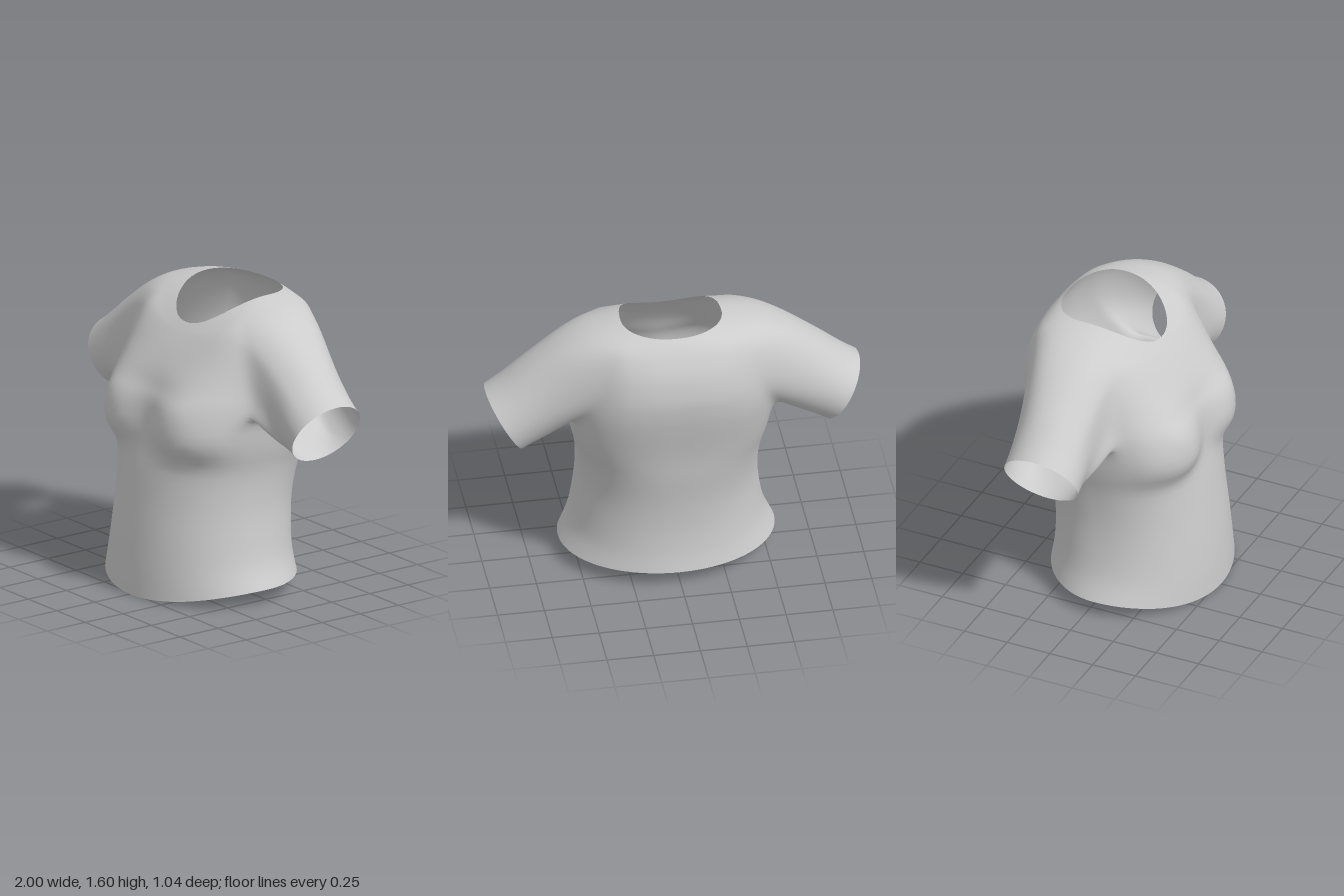
import * as THREE from 'three';

const COLS = 128, STEPS = 4, HALF = 8, SLEEVE_RINGS = 18;

// Body cross-sections from hem to neckline:
// half width, roundness, side z, front z, back z, side y, front y, back y, centre x,
// armhole reach towards front and back in degrees
const SECTIONS = [
  [0.577, 1.00, 0.05, 0.520, -0.400, 0.085, 0.000, 0.090, 0.008, 22, 22],
  [0.525, 0.95, 0.05, 0.512, -0.382, 0.200, 0.150, 0.200, 0.008, 22, 22],
  [0.495, 0.92, 0.04, 0.495, -0.376, 0.350, 0.330, 0.350, 0.010, 22, 22],
  [0.480, 0.90, 0.03, 0.472, -0.390, 0.520, 0.510, 0.520, 0.010, 22, 22],
  [0.490, 0.85, 0.00, 0.445, -0.420, 0.700, 0.700, 0.700, 0.010, 22, 22],
  [0.525, 0.77, -0.03, 0.415, -0.446, 0.860, 0.860, 0.860, 0.012, 22, 22],
  [0.552, 0.74, -0.08, 0.400, -0.490, 1.050, 1.040, 1.050, 0.012, 22, 23],
  [0.552, 0.75, -0.10, 0.370, -0.512, 1.150, 1.130, 1.160, 0.010, 22, 33],
  [0.545, 0.77, -0.11, 0.335, -0.520, 1.270, 1.215, 1.270, 0.008, 26, 41],
  [0.535, 0.80, -0.12, 0.275, -0.498, 1.420, 1.310, 1.400, 0.008, 32, 44],
  [0.500, 0.82, -0.14, 0.215, -0.452, 1.545, 1.390, 1.500, 0.008, 41, 45],
  [0.380, 0.87, -0.17, 0.184, -0.412, 1.580, 1.425, 1.555, 0.012, 38, 42],
  [0.270, 0.92, -0.18, 0.165, -0.380, 1.600, 1.445, 1.585, 0.020, 35, 38],
];
const ROWS = (SECTIONS.length - 1) * STEPS;
const HOLE_LOW = 6 * STEPS, HOLE_HIGH = 10 * STEPS;   // armhole rows

// Smooth interpolation between neighbouring sections
function sectionAt(row) {
  const i = Math.min(Math.floor(row / STEPS), SECTIONS.length - 2);
  const t = row / STEPS - i;
  const at = (k) => SECTIONS[THREE.MathUtils.clamp(k, 0, SECTIONS.length - 1)];
  return at(i).map((b, n) => {
    const a = at(i - 1)[n], c = at(i + 1)[n], d = at(i + 2)[n];
    return b + 0.5 * t * (c - a + t * (2 * a - 5 * b + 4 * c - d + t * (3 * (b - c) + d - a)));
  });
}

// Angle of a column, spaced so the armhole edges follow the section's reach
function columnAngle(j, reachFront, reachBack) {
  const side = COLS / 4, k = j > COLS / 2 ? COLS - j : j;
  const { mapLinear, degToRad } = THREE.MathUtils;
  let angle;
  if (k < side - HALF) angle = mapLinear(k, 0, side - HALF, 0, 90 - reachFront);
  else if (k < side) angle = mapLinear(k, side - HALF, side, 90 - reachFront, 90);
  else if (k < side + HALF) angle = mapLinear(k, side, side + HALF, 90, 90 + reachBack);
  else angle = mapLinear(k, side + HALF, COLS / 2, 90 + reachBack, 180);
  return degToRad(j > COLS / 2 ? -angle : angle);
}

// Rounded bust: soft above, tighter underneath
function bust(x, y) {
  const dy = (y - 0.92) / (y < 0.92 ? 0.09 : 0.17);
  const dx = (Math.abs(x - 0.01) - 0.32) / 0.17;
  return 0.085 * Math.exp(-Math.pow((dx * dx + dy * dy) / 2, 1.4));
}

function bodyPoint(section, j) {
  const [w, p, zs, zf, zb, ys, yf, yb, cx, reachFront, reachBack] = section;
  const angle = columnAngle(j, reachFront, reachBack);
  const s = Math.sin(angle), c = Math.cos(angle);
  const power = (v) => Math.sign(v) * Math.pow(Math.abs(v), p);
  const x = cx + w * power(s);
  const y = THREE.MathUtils.lerp(ys, c > 0 ? yf : yb, c * c);
  let z = zs + power(c) * (c > 0 ? zf - zs : zs - zb);
  if (c > 0) z += bust(x, y) * Math.min(1, c * 2);
  return new THREE.Vector3(x, y, z);
}

function addQuad(list, a, b, c, d, flip) {
  if (flip) list.push(a, c, b, a, d, c);
  else list.push(a, b, c, a, c, d);
}

// Body grid, leaving a gap at each armhole
function buildBody(points, pinned) {
  const index = [];
  for (let r = 0; r <= ROWS; r++) {
    const section = sectionAt(r);
    for (let j = 0; j < COLS; j++) {
      if (r === 0 || r === ROWS) pinned.add(points.length);
      points.push(bodyPoint(section, j));
    }
  }
  for (let r = 0; r < ROWS; r++) {
    for (let j = 0; j < COLS; j++) {
      const fromSide = Math.abs((j + 0.5) % (COLS / 2) - COLS / 4);
      if (r >= HOLE_LOW && r < HOLE_HIGH && fromSide < HALF) continue;
      const k = (j + 1) % COLS;
      addQuad(index, r * COLS + j, r * COLS + k, (r + 1) * COLS + k, (r + 1) * COLS + j);
    }
  }
  return index;
}

// Sleeve swept from the armhole edge to the round cuff; side is +1 or -1
function buildSleeve(points, pinned, side) {
  const index = [], n = HALF * 2, front = COLS / 4 - HALF, back = COLS / 4 + HALF;
  const id = (r, j) => r * COLS + (side > 0 ? j : COLS - j);
  let ring = [];
  for (let k = 0; k < n; k++) ring.push(id(HOLE_LOW, front + k));
  for (let k = 0; k < n; k++) ring.push(id(HOLE_LOW + k, back));
  for (let k = 0; k < n; k++) ring.push(id(HOLE_HIGH, back - k));
  for (let k = 0; k < n; k++) ring.push(id(HOLE_HIGH - k, front));

  const paths = ring.map((start, k) => {
    const phi = -Math.PI / 4 - (k / ring.length) * Math.PI * 2;
    const up = Math.sin(phi), ahead = Math.cos(phi);
    const cuff = new THREE.Vector3(side * (0.9 + 0.1 * up), 1.0 + 0.17 * up, -0.1 + 0.21 * ahead);
    const from = points[start], reach = from.distanceTo(cuff) / 3;
    const leave = new THREE.Vector3(side * (0.84 + 0.08 * up), -0.5 + 0.16 * up, -0.28 * ahead);
    const arrive = new THREE.Vector3(side * 0.84, -0.54, 0);
    return new THREE.CubicBezierCurve3(from.clone(), from.clone().addScaledVector(leave, reach),
      cuff.clone().addScaledVector(arrive, -reach), cuff);
  });
  for (let i = 1; i <= SLEEVE_RINGS; i++) {
    const next = paths.map((path) => {
      if (i === SLEEVE_RINGS) pinned.add(points.length);
      return points.push(path.getPoint(i / SLEEVE_RINGS)) - 1;
    });
    for (let k = 0; k < ring.length; k++) {
      const m = (k + 1) % ring.length;
      addQuad(index, ring[k], ring[m], next[m], next[k], side < 0);
    }
    ring = next;
  }
  return index;
}

// Relax the cloth around the armholes so sleeves blend into the body
function relax(points, index, pinned) {
  const near = points.map(() => new Set());
  for (let i = 0; i < index.length; i += 3) {
    for (let k = 0; k < 3; k++) {
      const a = index[i + k], b = index[i + (k + 1) % 3];
      near[a].add(b);
      near[b].add(a);
    }
  }
  const { smoothstep } = THREE.MathUtils;
  const weight = points.map((p, i) => {
    if (pinned.has(i) || near[i].size === 0) return 0;
    const x = Math.abs(p.x);
    return 0.5 * smoothstep(x, 0.3, 0.42) * (1 - smoothstep(x, 0.68, 0.85)) * smoothstep(p.y, 0.92, 1.05);
  });
  for (let pass = 0; pass < 12; pass++) {
    const targets = points.map((p, i) => {
      if (weight[i] === 0) return p;
      const mean = new THREE.Vector3();
      near[i].forEach((j) => mean.add(points[j]));
      return p.clone().lerp(mean.divideScalar(near[i].size), weight[i]);
    });
    targets.forEach((t, i) => points[i].copy(t));
  }
}

export function createModel() {
  const group = new THREE.Group();
  group.name = 'shirt';
  const cloth = new THREE.MeshStandardMaterial({ color: 0xcccccc, side: THREE.DoubleSide });
  cloth.name = 'light grey cloth';

  const points = [], pinned = new Set();
  const parts = {
    body: buildBody(points, pinned),
    leftSleeve: buildSleeve(points, pinned, 1),
    rightSleeve: buildSleeve(points, pinned, -1),
  };
  const all = Object.values(parts).flat();
  relax(points, all, pinned);

  // Normals are computed across all parts so the seams stay smooth
  const whole = new THREE.BufferGeometry().setFromPoints(points);
  whole.setIndex(all);
  whole.computeVertexNormals();

  for (const [name, index] of Object.entries(parts)) {
    const geometry = new THREE.BufferGeometry();
    geometry.setAttribute('position', whole.getAttribute('position'));
    geometry.setAttribute('normal', whole.getAttribute('normal'));
    geometry.setIndex(index);
    const mesh = new THREE.Mesh(geometry, cloth);
    mesh.name = name;
    group.add(mesh);
  }
  return group;
}
